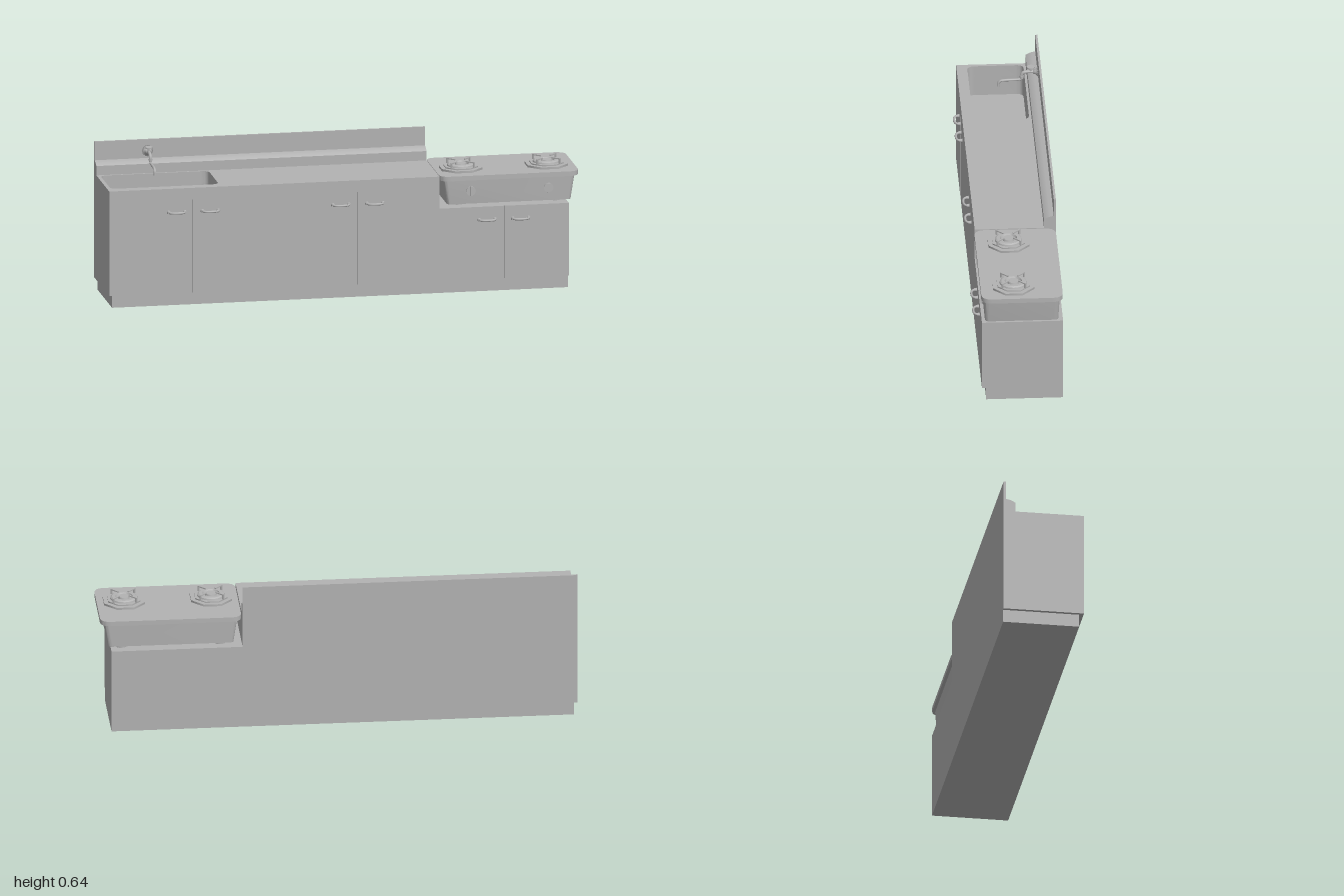
import * as THREE from 'three';
import { toCreasedNormals } from 'three/addons/utils/BufferGeometryUtils.js';

const grey = new THREE.MeshStandardMaterial({ color: 0xb2b2b2 });
grey.name = 'grey';

function add(parent, name, geometry, x = 0, y = 0, z = 0) {
  const mesh = new THREE.Mesh(geometry, grey);
  mesh.name = name;
  mesh.position.set(x, y, z);
  parent.add(mesh);
  return mesh;
}

// Box given by its limits
function block(parent, name, x0, x1, y0, y1, z0, z1) {
  return add(parent, name, new THREE.BoxGeometry(x1 - x0, y1 - y0, z1 - z0),
    (x0 + x1) / 2, (y0 + y1) / 2, (z0 + z1) / 2);
}

// Rounded rectangle in plan; shape y is -z
function plan(x0, x1, z0, z1, r, Type = THREE.Shape) {
  const p = new Type(), a = -z1, b = -z0;
  if (r === 0) {
    p.moveTo(x0, a).lineTo(x1, a).lineTo(x1, b).lineTo(x0, b);
    return p;
  }
  p.moveTo(x0 + r, a).lineTo(x1 - r, a);
  p.quadraticCurveTo(x1, a, x1, a + r).lineTo(x1, b - r);
  p.quadraticCurveTo(x1, b, x1 - r, b).lineTo(x0 + r, b);
  p.quadraticCurveTo(x0, b, x0, b - r).lineTo(x0, a + r);
  p.quadraticCurveTo(x0, a, x0 + r, a);
  return p;
}

// Plan shape raised from y0 to y1
function slab(shape, y0, y1) {
  const g = new THREE.ExtrudeGeometry(shape, { depth: y1 - y0, bevelEnabled: false, curveSegments: 8 });
  g.rotateX(-Math.PI / 2).translate(0, y0, 0);
  return toCreasedNormals(g, 0.6);
}

function tube(points, radius, segments = 24) {
  const curve = new THREE.CatmullRomCurve3(points.map(p => new THREE.Vector3(...p)), false, 'centripetal');
  return new THREE.TubeGeometry(curve, segments, radius, 10);
}

function cabinet() {
  const g = new THREE.Group();
  g.name = 'cabinet';
  block(g, 'plinth', -0.985, 0.955, 0, 0.055, -0.185, 0.137);
  block(g, 'lowerCarcass', -1, 0.955, 0.055, 0.367, -0.185, 0.147);
  // Upper layers with the sink opening cut through them
  for (const [name, y0, y1, front] of [['upperCarcass', 0.367, 0.455, 0.147], ['counter', 0.455, 0.505, 0.155]]) {
    const shape = plan(-1, 0.405, -0.185, front, 0);
    shape.holes.push(plan(-0.985, -0.525, -0.125, 0.11, 0.03, THREE.Path));
    add(g, name, slab(shape, y0, y1));
  }
  // Door fronts separated by narrow grooves
  const gap = 0.003;
  block(g, 'door', -1, -0.65 - gap, 0.055, 0.455, 0.147, 0.155);
  block(g, 'door', -0.65 + gap, 0.055 - gap, 0.055, 0.455, 0.147, 0.155);
  block(g, 'door', 0.055 + gap, 0.68 - gap, 0.055, 0.367, 0.147, 0.155);
  block(g, 'doorUpper', 0.055 + gap, 0.405, 0.367, 0.455, 0.147, 0.155);
  block(g, 'door', 0.68 + gap, 0.955, 0.055, 0.367, 0.147, 0.155);
  // Backsplash with a rounded ledge at its foot
  block(g, 'backsplash', -1, 0.405, 0.505, 0.64, -0.185, -0.176);
  const s = new THREE.Shape();
  s.moveTo(0.135, 0.505).lineTo(0.135, 0.545);
  s.quadraticCurveTo(0.152, 0.558, 0.176, 0.56).lineTo(0.176, 0.505);
  const ledge = new THREE.ExtrudeGeometry(s, { depth: 1.405, bevelEnabled: false, curveSegments: 6 });
  ledge.rotateY(Math.PI / 2);
  add(g, 'ledge', toCreasedNormals(ledge, 0.4), -1, 0, 0);
  return g;
}

function handle(x, y) {
  const g = new THREE.Group();
  g.name = 'handle';
  g.position.set(x, y, 0.155);
  add(g, 'grip', tube([[-0.034, 0, 0], [-0.031, 0, 0.015], [-0.018, 0, 0.023],
    [0.018, 0, 0.023], [0.031, 0, 0.015], [0.034, 0, 0]], 0.005));
  for (const side of [-1, 1]) {
    add(g, 'mount', new THREE.CylinderGeometry(0.006, 0.008, 0.012, 12).rotateX(Math.PI / 2), side * 0.034, 0, 0.006);
  }
  return g;
}

function faucet() {
  const g = new THREE.Group();
  g.name = 'faucet';
  g.position.x = -0.775;
  // Trumpet-shaped wall flange
  const profile = [[0, 0], [0.025, 0], [0.018, 0.005], [0.011, 0.012], [0.008, 0.022], [0, 0.022]]
    .map(p => new THREE.Vector2(...p));
  add(g, 'flange', new THREE.LatheGeometry(profile, 16).rotateX(Math.PI / 2), 0, 0.59, -0.176);
  add(g, 'valvePipe', tube([[0, 0.59, -0.17], [0, 0.591, -0.13], [0, 0.587, -0.113],
    [0, 0.575, -0.107], [0, 0.56, -0.107]], 0.007));
  add(g, 'collar', new THREE.CylinderGeometry(0.009, 0.009, 0.008, 14), 0, 0.57, -0.107);
  add(g, 'spout', tube([[0, 0.572, -0.107], [0, 0.559, -0.106], [0, 0.555, -0.095], [0, 0.553, -0.035],
    [0, 0.55, -0.018], [0, 0.541, -0.01], [0, 0.526, -0.008]], 0.0055, 32));
  add(g, 'spoutTip', new THREE.CylinderGeometry(0.0055, 0.0055, 0.002, 10), 0, 0.526, -0.008);
  add(g, 'stem', new THREE.CylinderGeometry(0.005, 0.006, 0.022, 12), 0, 0.6, -0.145);
  add(g, 'tapWheel', new THREE.CylinderGeometry(0.017, 0.017, 0.005, 16), 0, 0.612, -0.145);
  return g;
}

function burner(x) {
  const g = new THREE.Group();
  g.name = 'burner';
  g.position.set(x, 0.503, 0.02);
  // Stepped octagonal trays
  for (const [half, y0, y1] of [[0.086, 0, 0.009], [0.068, 0.009, 0.014]]) {
    const r = half / Math.cos(Math.PI / 8);
    add(g, 'tray', new THREE.CylinderGeometry(r, r, y1 - y0, 8).rotateY(Math.PI / 8).toNonIndexed(), 0, (y0 + y1) / 2, 0);
  }
  const ring = [[0.03, 0.012], [0.058, 0.012], [0.056, 0.02], [0.05, 0.024], [0.036, 0.024], [0.03, 0.012]]
    .map(p => new THREE.Vector2(...p));
  add(g, 'ring', toCreasedNormals(new THREE.LatheGeometry(ring, 24), 0.5));
  add(g, 'cap', new THREE.CylinderGeometry(0.022, 0.025, 0.012, 20), 0, 0.018, 0);
  // Four diagonal pan supports
  for (let i = 0; i < 4; i++) {
    const arm = new THREE.Group();
    arm.name = 'panSupport';
    arm.rotation.y = Math.PI / 4 + i * Math.PI / 2;
    block(arm, 'post', 0.064, 0.071, 0.012, 0.036, -0.003, 0.003);
    block(arm, 'bar', 0.028, 0.071, 0.031, 0.036, -0.003, 0.003);
    g.add(arm);
  }
  return g;
}

function stove() {
  const g = new THREE.Group();
  g.name = 'stove';
  add(g, 'stoveTop', slab(plan(0.408, 1, -0.183, 0.158, 0.045), 0.483, 0.503));
  // Body narrows towards the bottom
  const body = slab(plan(0.425, 0.983, -0.17, 0.147, 0.02), 0.38, 0.484);
  const p = body.attributes.position;
  for (let i = 0; i < p.count; i++) {
    const t = (0.484 - p.getY(i)) / 0.104;
    p.setX(i, 0.704 + (p.getX(i) - 0.704) * (1 - 0.055 * t));
    p.setZ(i, -0.0115 + (p.getZ(i) + 0.0115) * (1 - 0.03 * t));
  }
  add(g, 'stoveBody', toCreasedNormals(body, 0.6));
  for (const x of [0.495, 0.91]) for (const z of [0.078, -0.127]) {
    add(g, 'foot', new THREE.CylinderGeometry(0.024, 0.024, 0.014, 16), x, 0.374, z);
  }
  for (const x of [0.54, 0.87]) {
    add(g, 'knob', new THREE.CylinderGeometry(0.02, 0.02, 0.008, 20).rotateX(Math.PI / 2), x, 0.435, 0.147);
    block(g, 'knobGrip', x - 0.004, x + 0.004, 0.415, 0.455, 0.145, 0.157);
  }
  g.add(burner(0.52), burner(0.885));
  return g;
}

export function createModel() {
  const model = new THREE.Group();
  model.name = 'kitchenUnit';
  model.add(cabinet(), faucet(), stove());
  for (const x of [-0.713, -0.57, -0.015, 0.13]) model.add(handle(x, 0.404));
  for (const x of [0.607, 0.75]) model.add(handle(x, 0.312));
  return model;
}
